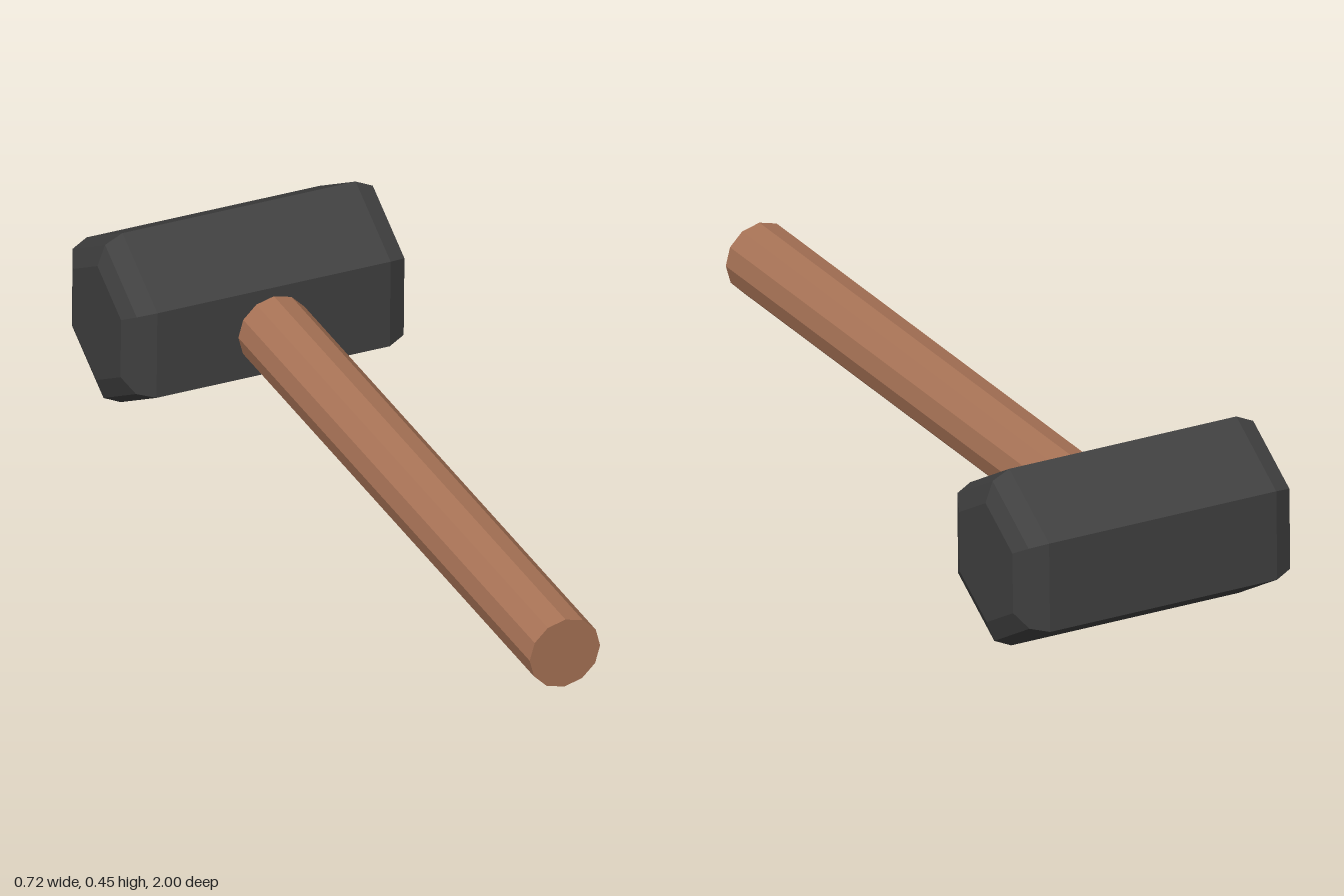
import * as THREE from 'three';

// Faceted copy of a geometry, one normal per face
function faceted(geometry) {
  const flat = geometry.toNonIndexed();
  flat.computeVertexNormals();
  return flat;
}

export function createModel() {
  const model = new THREE.Group();
  model.name = 'sledgehammer';

  const iron = new THREE.MeshStandardMaterial({ color: 0x404040, flatShading: true });
  iron.name = 'dark iron';
  const wood = new THREE.MeshStandardMaterial({ color: 0xa87356, flatShading: true });
  wood.name = 'brown wood';

  // Hexagonal head with two-step bevelled ends, turned about its long axis
  const half = [[0, 0.361], [0.152, 0.361], [0.204, 0.342], [0.2253, 0.298]];
  const profile = [
    ...half.map(([r, h]) => new THREE.Vector2(r, -h)),
    ...half.slice().reverse().map(([r, h]) => new THREE.Vector2(r, h)),
  ];
  const headGeometry = new THREE.LatheGeometry(profile, 6);
  headGeometry.rotateX(-Math.PI / 2).rotateY(Math.PI / 2);
  const head = new THREE.Mesh(faceted(headGeometry), iron);
  head.name = 'head';
  head.position.set(0, 0.2255, -0.803);
  head.rotation.x = 0.021;
  model.add(head);

  // Twelve-sided handle, sloping gently down to its free end
  const start = new THREE.Vector3(0, 0.234, -0.95);
  const end = new THREE.Vector3(0, 0.159, 0.997);
  const handleGeometry = new THREE.CylinderGeometry(0.09, 0.09, start.distanceTo(end), 12);
  const handle = new THREE.Mesh(faceted(handleGeometry), wood);
  handle.name = 'handle';
  handle.position.copy(start).add(end).multiplyScalar(0.5);
  handle.rotation.x = Math.PI / 2 + Math.atan2(start.y - end.y, end.z - start.z);
  model.add(handle);

  return model;
}
